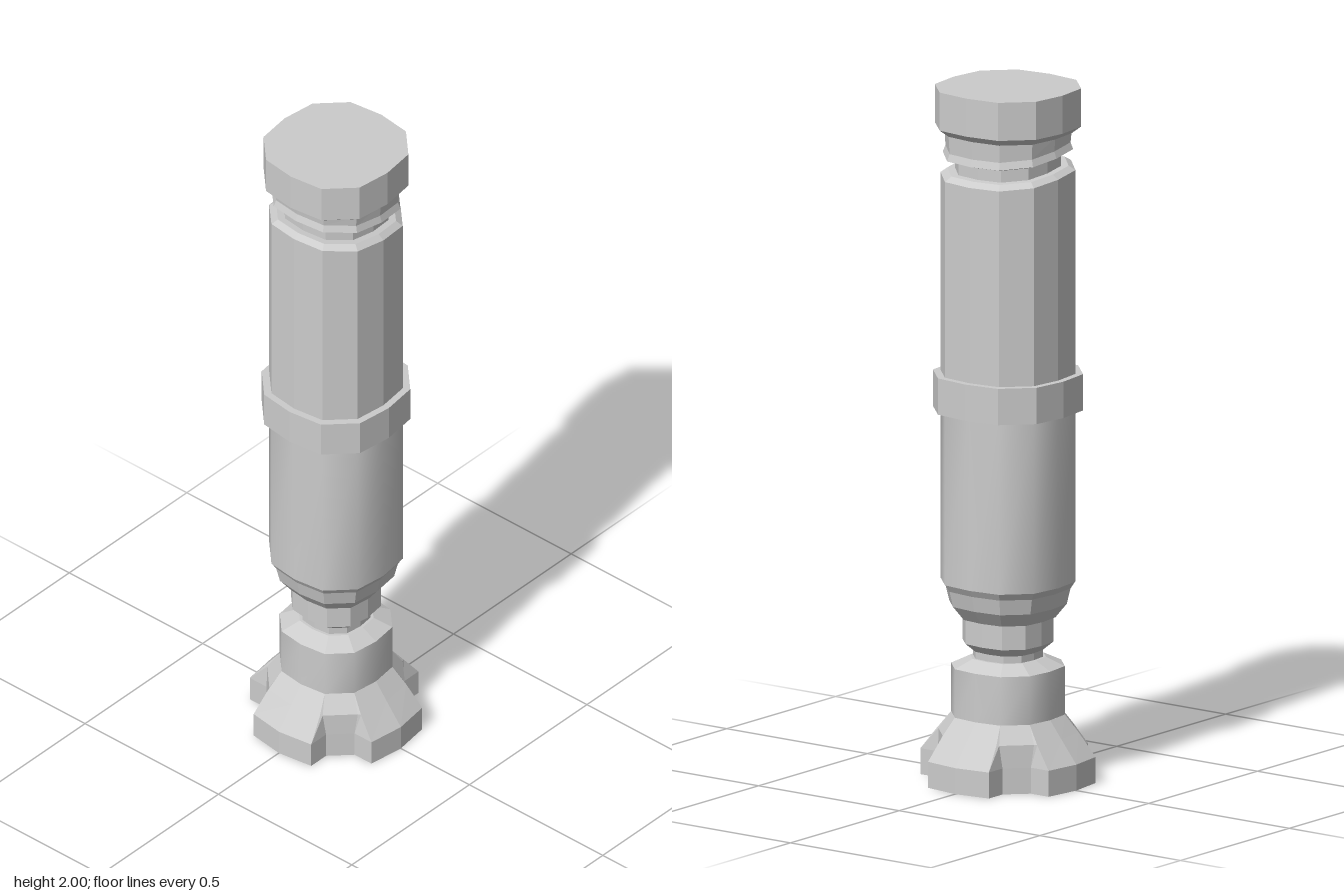
import * as THREE from 'three';
import { toCreasedNormals } from 'three/addons/utils/BufferGeometryUtils.js';

const flat = new THREE.MeshStandardMaterial({ color: 0xcccccc, flatShading: true });
const smooth = new THREE.MeshStandardMaterial({ color: 0xcccccc });

// Skins a stack of rings (bottom to top, each counterclockwise from above in x,z)
function loft(rings, capBottom, capTop) {
  const n = rings[0].length, pos = rings.flat(2), idx = [];
  for (let i = 0; i < rings.length - 1; i++) {
    for (let j = 0; j < n; j++) {
      const a = i * n + j, b = i * n + (j + 1) % n;
      idx.push(a, b, b + n, a, b + n, a + n);
    }
  }
  const cap = (r, up) => {
    const base = r * n;
    const c = pos.length / 3;
    let y = 0;
    rings[r].forEach(p => { y += p[1] / n; });
    pos.push(0, y, 0);
    for (let j = 0; j < n; j++) {
      const a = base + j, b = base + (j + 1) % n;
      if (up) idx.push(c, a, b); else idx.push(c, b, a);
    }
  };
  if (capBottom) cap(0, false);
  if (capTop) cap(rings.length - 1, true);
  const g = new THREE.BufferGeometry();
  g.setAttribute('position', new THREE.Float32BufferAttribute(pos, 3));
  g.setIndex(idx);
  const out = g.toNonIndexed();
  out.computeVertexNormals();
  return out;
}

// Twelve-sided ring: a square with cut corners and bowed sides; tilt raises the front
function ring(y, r, tilt = 0) {
  const pts = [];
  for (let k = 0; k < 12; k++) {
    const a = -k * Math.PI / 6;
    const s = k % 3 === 0 ? r : r * 1.076;
    const x = Math.cos(a) * s, z = Math.sin(a) * s;
    pts.push([x, y + tilt * z, z]);
  }
  return pts;
}

// Foot ring: four lobes, each with notch corners (a), outer corners (b) and a tip
function lobeRing(y, [ax, az], [bx, bz], tip) {
  const pts = [];
  for (let q = 0; q < 4; q++) {
    const c = Math.round(Math.cos(q * Math.PI / 2)), s = Math.round(Math.sin(q * Math.PI / 2));
    for (const [x, z] of [[ax, az], [bx, bz], [tip, 0], [bx, -bz], [ax, -az]]) {
      pts.push([x * c + z * s, y, -x * s + z * c]);
    }
  }
  return pts;
}

export function createModel() {
  const model = new THREE.Group();
  model.name = 'handle';
  const add = (name, geo, mat = flat) => {
    const m = new THREE.Mesh(geo, mat);
    m.name = name;
    model.add(m);
  };
  const part = (name, profile, soft = false) => {
    const g = loft(profile.map(p => ring(...p)), true, true);
    add(name, soft ? toCreasedNormals(g, 0.75) : g, soft ? smooth : flat);
  };

  // Hollow flared foot, from the inner roof down to the rim and up the outside
  add('flaredFoot', loft([
    lobeRing(0.165, [0.11, 0.068], [0.115, 0.068], 0.125),
    lobeRing(0.13, [0.15, 0.094], [0.155, 0.094], 0.165),
    lobeRing(0.07, [0.15, 0.098], [0.21, 0.098], 0.224),
    lobeRing(0, [0.15, 0.098], [0.21, 0.098], 0.224),
    lobeRing(0, [0.165, 0.108], [0.228, 0.108], 0.243),
    lobeRing(0.075, [0.165, 0.108], [0.228, 0.108], 0.243),
    lobeRing(0.14, [0.17, 0.1], [0.178, 0.096], 0.19),
    lobeRing(0.19, [0.14, 0.081], [0.14, 0.081], 0.15),
  ], true, true));

  // Neck between foot and body
  part('neck', [[0.185, 0.15], [0.33, 0.15]], true);
  part('neckShoulder', [[0.33, 0.15], [0.355, 0.1]]);
  part('neckGroove', [[0.35, 0.092], [0.375, 0.092], [0.4, 0.12], [0.475, 0.12]]);
  part('lowerTaper', [[0.47, 0.125], [0.51, 0.155], [0.555, 0.165], [0.575, 0.177]]);

  // Body with its belt
  part('lowerBody', [[0.575, 0.178], [1.08, 0.178]], true);
  part('belt', [[1.07, 0.198], [1.175, 0.198]]);
  part('upperBody', [[1.17, 0.178], [1.755, 0.178, 0.09], [1.768, 0.16, 0.09]]);

  // Slanted groove and collar under the end cap
  part('slantedGroove', [[1.755, 0.14, 0.09], [1.83, 0.14, 0.09]]);
  part('collar', [[1.805, 0.145, 0.1], [1.815, 0.172, 0.1], [1.835, 0.165, 0.1], [1.875, 0.168]]);
  part('endCap', [[1.87, 0.168], [1.89, 0.193], [2, 0.193]]);
  return model;
}
